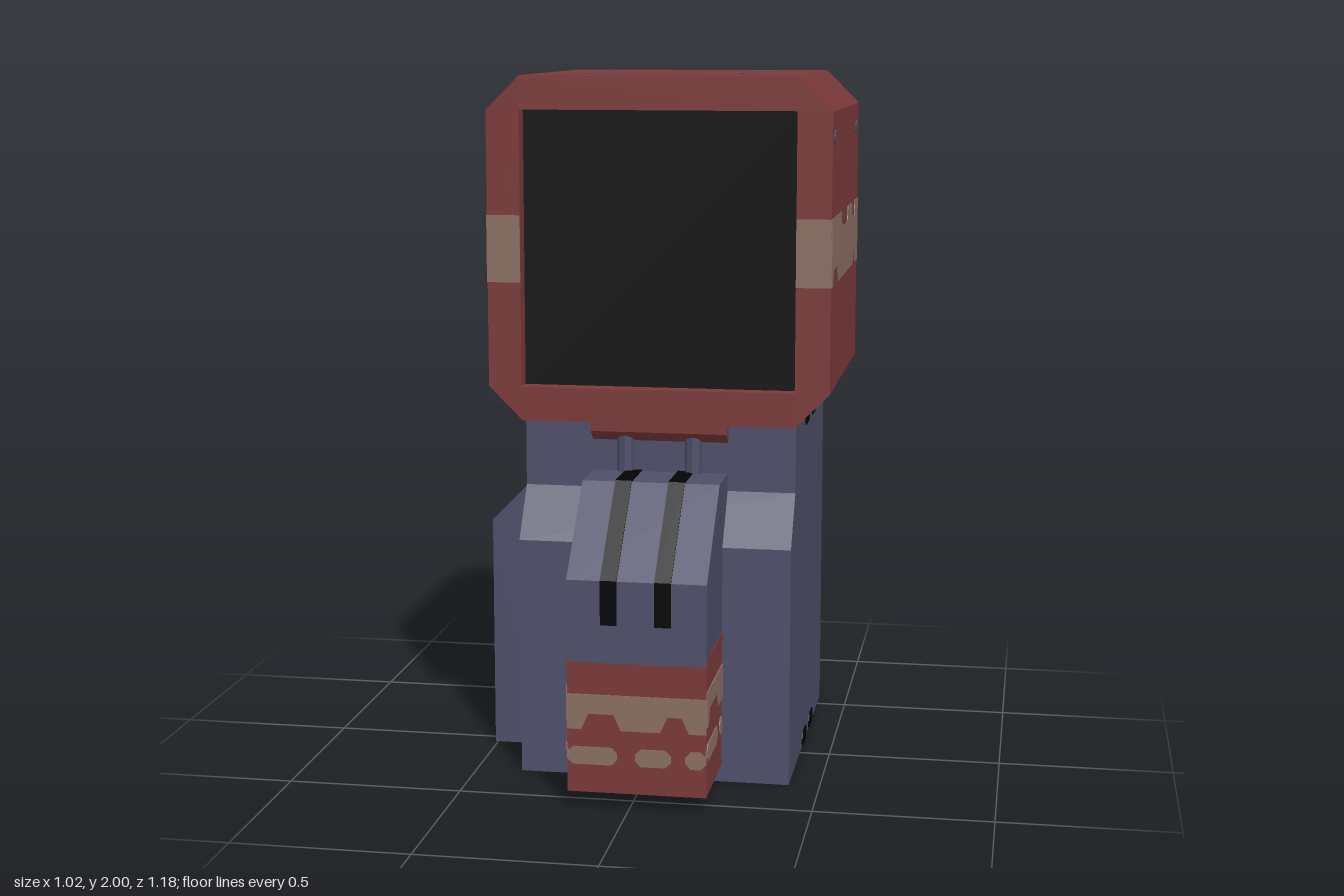
import * as THREE from 'three';

const material = (name, color) => {
  const m = new THREE.MeshStandardMaterial({ color });
  m.name = name;
  return m;
};

export function createModel() {
  const model = new THREE.Group();
  const red = material('faded red', 0x7b3939);
  const blue = material('slate blue', 0x4e4e69);
  const tan = material('worn tan', 0x8a6f63);
  const screenBlack = material('screen black', 0x0e0e0e);
  const black = material('slot black', 0x040404);

  const add = (name, geometry, mat, parent = model) => {
    const mesh = new THREE.Mesh(geometry, mat);
    mesh.name = name;
    parent.add(mesh);
    return mesh;
  };
  const group = (name) => {
    const g = new THREE.Group();
    g.name = name;
    model.add(g);
    return g;
  };
  const toShape = (pts) => new THREE.Shape(pts.map(([a, b]) => new THREE.Vector2(a, b)));
  const extrude = (shape, depth) => new THREE.ExtrudeGeometry(shape, { depth, bevelEnabled: false });

  // Outline in (x, y) pushed along z, or outline in (z, y) pushed along x
  const prismZ = (shape, z0, z1) => extrude(shape, z1 - z0).translate(0, 0, z0);
  const prismX = (pts, x0, x1) => extrude(toShape(pts), x1 - x0).rotateY(-Math.PI / 2).translate(x1, 0, 0);

  // Thin painted plate; u runs to the viewer's right on each face, d is the face's distance
  const turn = { front: 0, right: Math.PI / 2, back: Math.PI, left: -Math.PI / 2 };
  const plate = (name, pts, mat, face, d, parent, lift = 0.003) => {
    const g = extrude(toShape(pts), 0.003 + lift).translate(0, 0, d - 0.003);
    if (face === 'top') g.rotateX(-Math.PI / 2);
    else g.rotateY(turn[face]);
    return add(name, g, mat, parent);
  };
  const rect = (u0, u1, v0, v1) => [[u0, v0], [u1, v0], [u1, v1], [u0, v1]];
  // Rectangle with cut corners
  const blob = (u0, u1, v0, v1, c = 0.016) => [
    [u0 + c, v0], [u1 - c, v0], [u1, v0 + c], [u1, v1 - c],
    [u1 - c, v1], [u0 + c, v1], [u0, v1 - c], [u0, v0 + c]];
  // Band with chipped edges: each chip is a [start, end] range
  const band = (u0, u1, v0, v1, topChips, bottomChips, h = 0.045, s = 0.02) => {
    const pts = [[u0, v0]];
    for (const [a, b] of bottomChips) pts.push([a, v0], [a + s, v0 + h], [b - s, v0 + h], [b, v0]);
    pts.push([u1, v0], [u1, v1]);
    for (const [a, b] of [...topChips].reverse()) pts.push([b, v1], [b - s, v1 - h], [a + s, v1 - h], [a, v1]);
    pts.push([u0, v1]);
    return pts;
  };

  // Head: octagonal shell with a recessed screen
  const head = group('head');
  const X0 = -0.465, X1 = 0.51, C = 0.097;
  const octagon = () => toShape(blob(X0, X1, 1.025, 2, C));
  add('headShell', prismZ(octagon(), -0.585, 0.185), red, head);
  const frame = octagon();
  frame.holes.push(new THREE.Path(rect(-0.37, 0.412, 1.122, 1.905).map(([a, b]) => new THREE.Vector2(a, b))));
  add('screenFrame', prismZ(frame, 0.185, 0.24), red, head);
  plate('screen', rect(-0.37, 0.412, 1.122, 1.905), screenBlack, 'front', 0.185, head);

  // Chipped band around the head
  const sideTop = (o) => [[o + 0.28, o + 0.49], [o + 0.625, o + 0.725]];
  const sideLow = (o) => [[o + 0.04, o + 0.19], [o + 0.665, o + 0.735]];
  plate('bandRight', band(-0.24, 0.585, 1.42, 1.61, sideTop(-0.24), sideLow(-0.24)), tan, 'right', X1, head, 0.002);
  plate('bandLeft', band(-0.585, 0.24, 1.42, 1.61, sideTop(-0.585), sideLow(-0.585)), tan, 'left', -X0, head, 0.002);
  plate('bandBack', band(-X1, -X0, 1.42, 1.61, [[-0.28, 0]], [[0.12, 0.23]]), tan, 'back', 0.585, head);
  plate('bandFront', rect(X0, -0.37, 1.42, 1.61), tan, 'front', 0.24, head);
  plate('bandFront', rect(0.412, X1, 1.42, 1.61), tan, 'front', 0.24, head);

  // Rivets on the top and both sides of the head
  for (const x of [-0.195, 0.245])
    for (const z of [-0.37, 0.02])
      plate('topRivet', blob(x - 0.025, x + 0.025, -z - 0.025, -z + 0.025), blue, 'top', 2, head, 0.002);
  for (const z of [0.17, -0.51]) {
    plate('sideRivet', blob(-z - 0.028, -z + 0.028, 1.808, 1.852), blue, 'right', X1, head, 0.002);
    plate('sideRivet', blob(z - 0.028, z + 0.028, 1.808, 1.852), blue, 'left', -X0, head, 0.002);
  }

  // Lip below the screen
  add('headLip', prismX([[0.18, 1.03], [0.18, 0.97], [0.2, 0.97], [0.24, 1.0], [0.24, 1.03]], -0.17, 0.22), red, head);

  // Body with a sloped shoulder at the front
  const body = group('body');
  add('bodyShell', prismX([[-0.585, 0], [0.295, 0], [0.295, 0.687], [0.195, 0.83], [0.195, 1.025], [-0.585, 1.025]],
    -0.368, 0.412), blue, body);
  for (const u of [0.045, 0.225])
    for (const v of [0.0, 0.982])
      plate('sideSlot', blob(u, u + 0.11, v, v + 0.043), black, 'right', 0.412, body);
  for (const u of [-0.17, 0.13])
    for (const v of [0.265, 0.37])
      plate('backSlot', blob(u - 0.045, u + 0.045, v - 0.02, v + 0.02), black, 'back', 0.585, body);

  // Side pack with two columns of vents
  const pack = group('sidePack');
  add('packShell', prismZ(toShape([[-0.36, 0], [-0.36, 0.838], [-0.508, 0.687], [-0.508, 0]]), -0.44, 0.045), blue, pack);
  for (const u of [-0.285, -0.1])
    for (let i = 0; i < 6; i++) {
      const v = 0.065 + i * 0.1;
      plate('packVent', blob(u - 0.038, u + 0.038, v - 0.02, v + 0.02), black, 'left', 0.508, pack, 0.002);
    }

  // Front pack: blue upper part, red lower part
  const front = group('frontPack');
  const F0 = -0.17, F1 = 0.218;
  add('frontPackUpper', prismX([[0.19, 0.42], [0.585, 0.42], [0.585, 0.65], [0.355, 0.88], [0.19, 0.88]], F0, F1), blue, front);
  add('frontPackLower', prismX([[0.28, 0.05], [0.585, 0.05], [0.585, 0.42], [0.28, 0.42]], F0, F1), red, front);
  plate('frontBand', band(F0, F1, 0.23, 0.33, [], [[-0.13, -0.02], [0.09, 0.17]]), tan, 'front', 0.585, front);
  for (const [a, b] of [[F0, -0.03], [0.02, 0.12], [0.16, F1]])
    plate('frontPatch', blob(a, b, 0.13, 0.18), tan, 'front', 0.585, front);
  for (const [face, d, m] of [['right', F1, 1], ['left', -F0, -1]]) {
    const flip = (pts) => pts.map(([u, v]) => [u * m, v]);
    plate('sideRedEdge', flip(rect(-0.585, -0.295, 0.415, 0.443)), red, face, d, front, 0.002);
    plate('sideBand', flip(band(-0.585, -0.295, 0.25, 0.35, [], [[-0.56, -0.375]])), tan, face, d, front);
    plate('sidePatch', flip(blob(-0.585, -0.39, 0.15, 0.2)), tan, face, d, front);
    plate('sidePatch', flip(blob(-0.35, -0.295, 0.15, 0.2)), tan, face, d, front);
  }

  // Black straps over the front pack, and tubes up to the lip
  for (const x of [-0.053, 0.097]) {
    add('strap', prismX([[0.195, 0.87], [0.35, 0.87], [0.58, 0.645], [0.58, 0.527], [0.589, 0.527],
      [0.589, 0.652], [0.357, 0.884], [0.195, 0.884]], x - 0.023, x + 0.023), black, front);
  }
  for (const x of [-0.075, 0.12]) {
    const tube = new THREE.CylinderGeometry(0.025, 0.025, 0.13, 8).toNonIndexed();
    tube.computeVertexNormals();
    add('tube', tube, blue, front).position.set(x, 0.925, 0.197);
  }

  return model;
}
